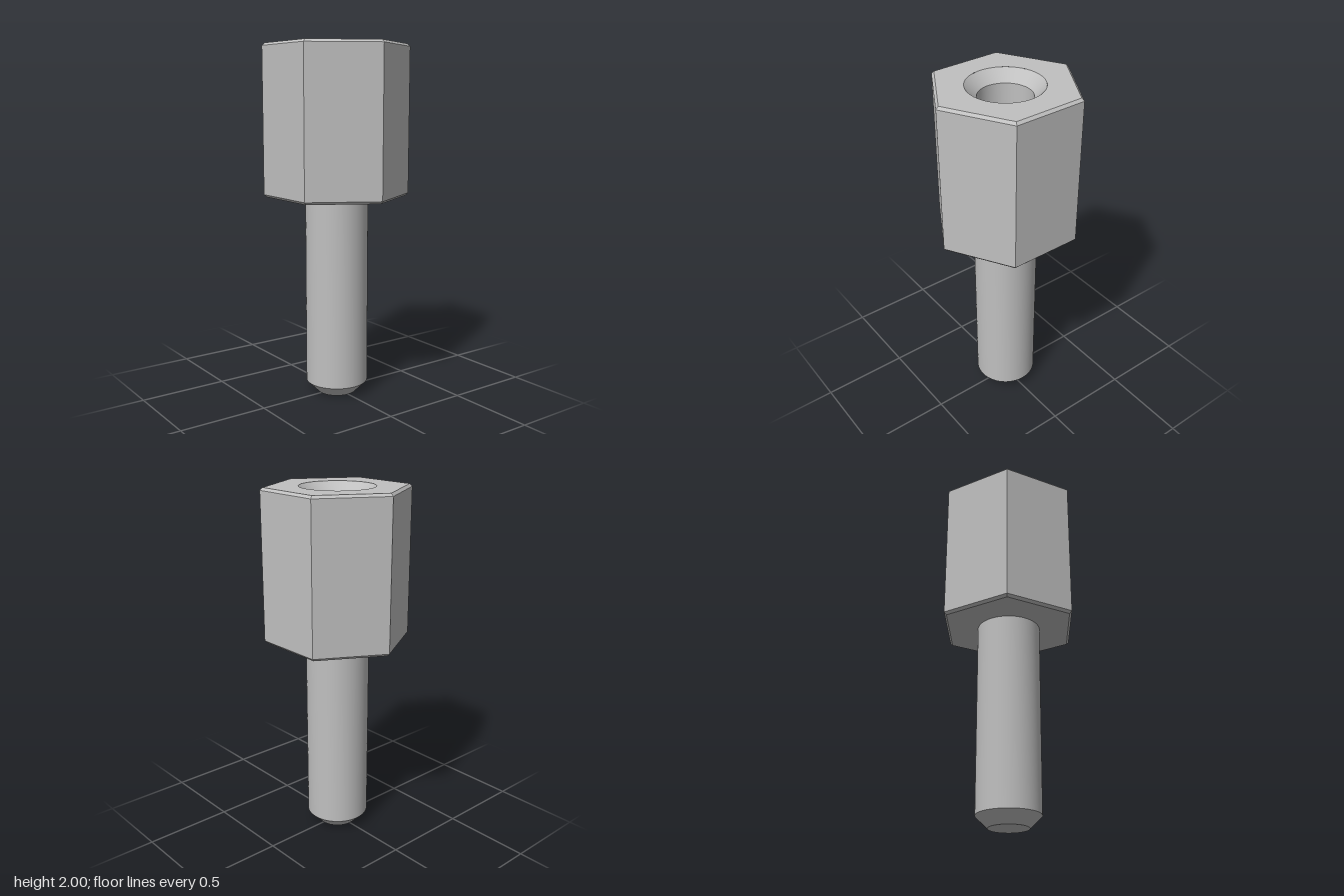
import * as THREE from 'three';
import { toCreasedNormals } from 'three/addons/utils/BufferGeometryUtils.js';

const HEX_R = 0.412;     // corner radius of the hexagon
const CHAMFER = 0.0155;  // corner inset of the chamfers
const CHAMFER_H = 0.0143;
const BODY_Y = 1.15;
const TOP_Y = 2;
const HOLE_R = 0.207;    // countersink rim
const SIDES = 64;

// Lathed surface with sharp edges kept
function turned(points, segments = SIDES, start = 0) {
  const profile = points.map(([r, y]) => new THREE.Vector2(r, y));
  return toCreasedNormals(new THREE.LatheGeometry(profile, segments, start), 0.5);
}

export function createModel() {
  const group = new THREE.Group();
  group.name = 'hexStandoff';
  const metal = new THREE.MeshStandardMaterial({ color: 0xc0c0c0 });
  metal.name = 'greyMetal';

  const add = (name, geometry) => {
    const mesh = new THREE.Mesh(geometry, metal);
    mesh.name = name;
    group.add(mesh);
  };

  // Hexagonal body with chamfered ends and closed underside
  const inner = HEX_R - CHAMFER;
  add('hexBody', turned([
    [0, BODY_Y],
    [inner, BODY_Y],
    [HEX_R, BODY_Y + CHAMFER_H],
    [HEX_R, TOP_Y - CHAMFER_H],
    [inner, TOP_Y],
  ], 6, Math.PI / 6));

  // Top face: hexagon with a round opening
  const corners = [];
  for (let i = 0; i < 6; i++) {
    const a = i * Math.PI / 3;
    corners.push(new THREE.Vector2(inner * Math.cos(a), inner * Math.sin(a)));
  }
  const face = new THREE.Shape(corners);
  face.holes.push(new THREE.Path().absarc(0, 0, HOLE_R, 0, Math.PI * 2, true));
  const top = new THREE.ShapeGeometry(face, SIDES);
  top.rotateX(-Math.PI / 2);
  top.translate(0, TOP_Y, 0);
  add('topFace', top);

  // Countersunk blind hole
  add('countersunkHole', turned([
    [HOLE_R, TOP_Y],
    [0.145, TOP_Y - 0.062],
    [0.145, 1.36],
    [0, 1.36],
  ]));

  // Round stud with a tapered tip
  add('stud', turned([
    [0, 0],
    [0.112, 0],
    [0.178, 0.066],
    [0.178, BODY_Y],
  ]));

  return group;
}
